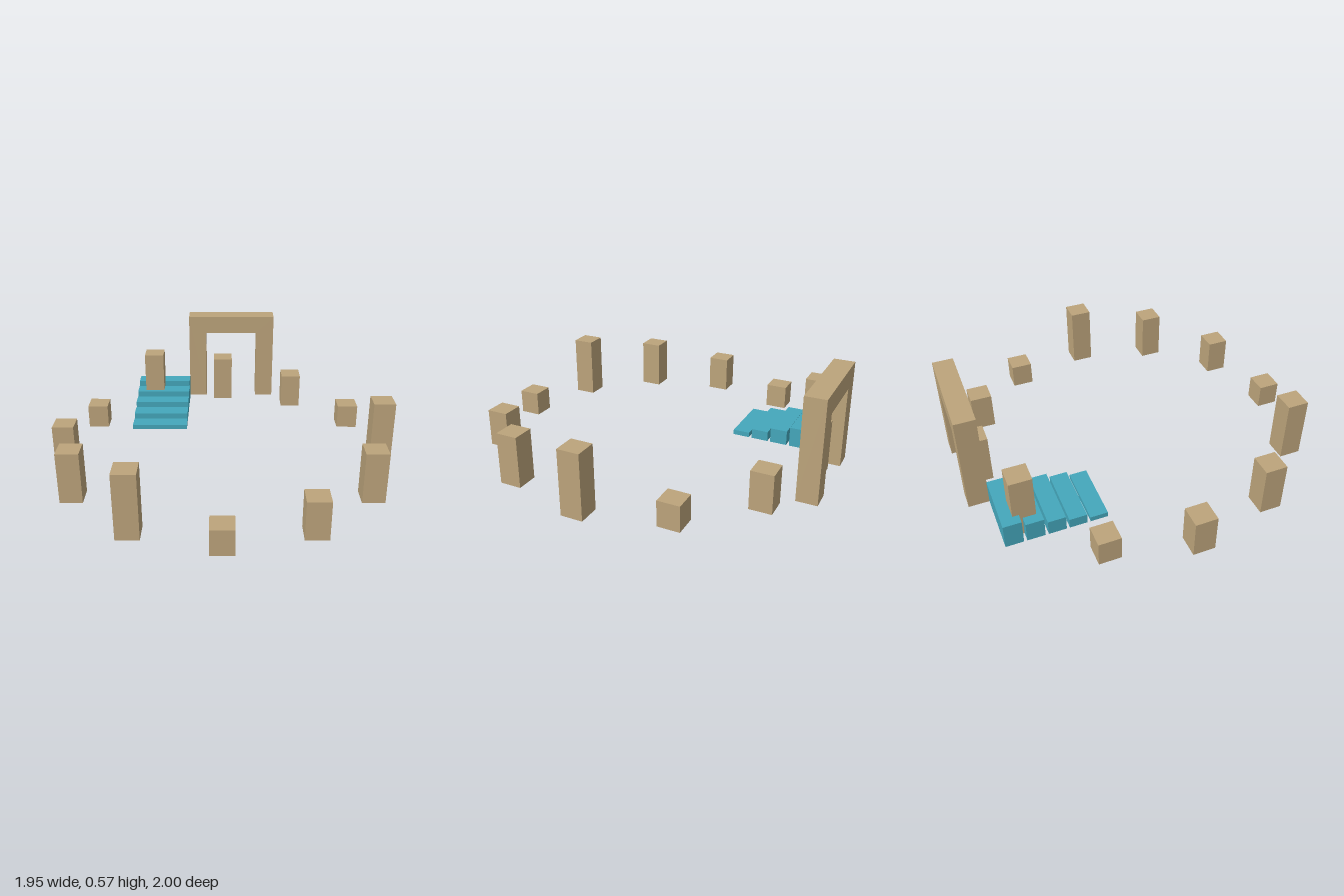
import * as THREE from 'three';

export function createModel() {
  const model = new THREE.Group();
  model.name = 'stoneCourt';
  const sandstone = new THREE.MeshStandardMaterial({ color: 0xbca47b });
  sandstone.name = 'sandstone';
  const teal = new THREE.MeshStandardMaterial({ color: 0x44a7bb });
  teal.name = 'teal';

  // Box standing on the ground
  function block(parent, name, material, w, h, d, x, z) {
    const mesh = new THREE.Mesh(new THREE.BoxGeometry(w, h, d), material);
    mesh.name = name;
    mesh.position.set(x, h / 2, z);
    parent.add(mesh);
  }

  const unit = 0.114;

  // Ring of twelve pillars, heights falling in a repeating cycle of four
  const pillars = new THREE.Group();
  pillars.name = 'pillarRing';
  for (let i = 0; i < 12; i++) {
    const a = (i * Math.PI) / 6;
    const height = 0.36 - 0.073 * (i % 4);
    block(pillars, `pillar${i + 1}`, sandstone, 0.122, height, 0.122,
      0.912 * Math.cos(a), 0.027 + 0.912 * Math.sin(a));
  }
  model.add(pillars);

  // Square archway at the back
  const left = -2 * unit, right = 3 * unit, top = 5 * unit;
  const outline = new THREE.Shape([
    [left, 0], [left + unit, 0], [left + unit, top - unit], [right - unit, top - unit],
    [right - unit, 0], [right, 0], [right, top], [left, top],
  ].map(([x, y]) => new THREE.Vector2(x, y)));
  const arch = new THREE.Mesh(
    new THREE.ExtrudeGeometry(outline, { depth: unit, bevelEnabled: false }), sandstone);
  arch.name = 'archway';
  arch.position.z = -1;
  model.add(arch);

  // Five separate steps rising towards the back
  const stairs = new THREE.Group();
  stairs.name = 'stairs';
  const stepDepth = 0.097;
  for (let i = 0; i < 5; i++) {
    block(stairs, `step${i + 1}`, teal, 3 * unit, 0.0285 * (i + 1), stepDepth,
      -3.5 * unit, -0.334 - stepDepth / 2 - i * unit);
  }
  model.add(stairs);

  return model;
}
